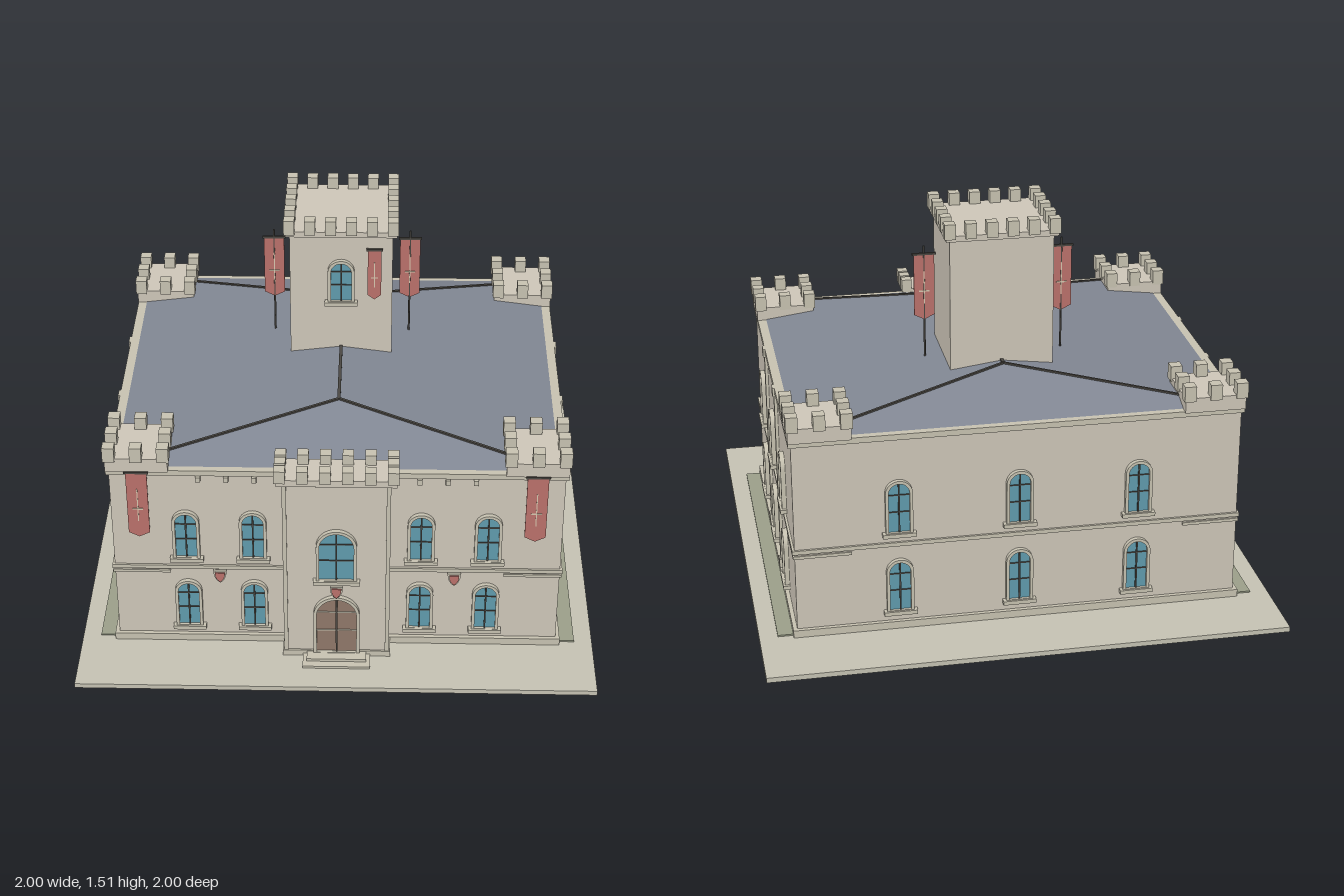
import * as THREE from 'three';

const mat = (color) => new THREE.MeshStandardMaterial({ color, side: THREE.DoubleSide });
const M = {
  wall: mat(0xccc5b7), trim: mat(0xc6c1b0), ground: mat(0xc4c1b2), grass: mat(0x9a9e88),
  roof: mat(0x808692), dark: mat(0x4a4742), glass: mat(0x5f9aac), door: mat(0x8e7768),
  cloth: mat(0xb9706a), emblem: mat(0xd6c6ae),
};

const group = (parent, name, x = 0, y = 0, z = 0, ry = 0) => {
  const g = new THREE.Group();
  g.name = name;
  g.position.set(x, y, z);
  g.rotation.y = ry;
  parent.add(g);
  return g;
};

function add(parent, name, geo, m, x = 0, y = 0, z = 0) {
  const mesh = new THREE.Mesh(geo, m);
  mesh.name = name;
  mesh.position.set(x, y, z);
  parent.add(mesh);
  return mesh;
}

// Box given by its extents on each axis
const box = (parent, name, m, x0, x1, y0, y1, z0, z1) =>
  add(parent, name, new THREE.BoxGeometry(x1 - x0, y1 - y0, z1 - z0), m,
    (x0 + x1) / 2, (y0 + y1) / 2, (z0 + z1) / 2);

const extrude = (shape, depth) =>
  new THREE.ExtrudeGeometry(shape, { depth, bevelEnabled: false, curveSegments: 12 });

// Round-headed outline standing on y = base
function archPath(PathType, w, h, base = 0) {
  const p = new PathType();
  p.moveTo(-w / 2, base);
  p.lineTo(w / 2, base);
  p.lineTo(w / 2, h - w / 2);
  p.absarc(0, h - w / 2, w / 2, 0, Math.PI, false);
  p.lineTo(-w / 2, base);
  return p;
}

// Arched opening facing +z: frame, pane, bars and optional sill
function arched(parent, name, w, h, x, y, z, ry = 0, fill = M.glass, sill = true) {
  const g = group(parent, name, x, y, z, ry);
  const t = 0.012;
  const frame = archPath(THREE.Shape, w, h);
  frame.holes.push(archPath(THREE.Path, w - 2 * t, h - t, 0.004));
  add(g, 'frame', extrude(frame, 0.018), M.trim);
  add(g, 'pane', extrude(archPath(THREE.Shape, w - 2 * t, h - t), 0.006), fill);
  const bar = fill === M.glass ? M.dark : M.trim;
  box(g, 'mullion', M.dark, -0.003, 0.003, 0.004, h - t, 0.004, 0.012);
  for (const f of [0.4, 0.72])
    box(g, 'crossBar', bar, -w / 2 + t, w / 2 - t, h * f - 0.002, h * f + 0.002, 0.004, 0.01);
  if (sill) box(g, 'sill', M.trim, -w / 2 - 0.012, w / 2 + 0.012, -0.014, 0.002, 0, 0.026);
}

// Crenellated cap: slab with merlons standing along its edges
function battlement(parent, name, x0, x1, z0, z1, y0, y1, top, nx, nz, s) {
  const g = group(parent, name);
  box(g, 'slab', M.wall, x0 + 0.006, x1 - 0.006, y0, y1, z0 + 0.006, z1 - 0.006);
  for (let i = 0; i < nx; i++) for (let j = 0; j < nz; j++) {
    if (i > 0 && i < nx - 1 && j > 0 && j < nz - 1) continue;
    const x = x0 + (x1 - x0 - s) * i / (nx - 1);
    const z = z0 + (z1 - z0 - s) * j / (nz - 1);
    box(g, 'merlon', M.trim, x, x + s, y1 - 0.012, top, z, z + s);
  }
}

// Hanging banner with a pointed hem, hung from y = 0 downward
function banner(parent, name, w, h, x, y, z) {
  const g = group(parent, name, x, y, z);
  const s = new THREE.Shape([[-w / 2, 0], [-w / 2, -h + 0.02], [0, -h], [w / 2, -h + 0.02], [w / 2, 0]]
    .map(([a, b]) => new THREE.Vector2(a, b)));
  add(g, 'cloth', extrude(s, 0.006), M.cloth, 0, 0, -0.003);
  box(g, 'rod', M.dark, -w / 2 - 0.006, w / 2 + 0.006, -0.004, 0.004, -0.005, 0.005);
  box(g, 'stripe', M.emblem, -0.002, 0.002, -h * 0.75, -h * 0.25, -0.005, 0.005);
  box(g, 'crossStripe', M.emblem, -w * 0.25, w * 0.25, -h * 0.57, -h * 0.55, -0.005, 0.005);
}

// Small wall shield
function shield(parent, x, y, z) {
  const s = new THREE.Shape();
  s.moveTo(-0.025, 0.027);
  s.lineTo(0.025, 0.027);
  s.quadraticCurveTo(0.026, -0.012, 0, -0.03);
  s.quadraticCurveTo(-0.026, -0.012, -0.025, 0.027);
  const g = group(parent, 'shield', x, y, z);
  add(g, 'rim', extrude(s, 0.01), M.trim);
  add(g, 'field', extrude(s, 0.016), M.cloth).scale.set(0.75, 0.75, 1);
}

// Square beam between two points
function beam(parent, name, a, b, r) {
  const p = new THREE.Vector3(...a), q = new THREE.Vector3(...b);
  const m = add(parent, name, new THREE.BoxGeometry(r, r, p.distanceTo(q)), M.dark);
  m.position.copy(p).add(q).multiplyScalar(0.5);
  m.lookAt(q);
}

function hipRoof(parent) {
  const X = 0.83, Z = 0.7, E = 0.833, R = 0.94, L = 0.39;
  const a = [-X, E, Z], b = [X, E, Z], c = [X, E, -Z], d = [-X, E, -Z], f = [0, R, L], k = [0, R, -L];
  const tris = [a, b, f, b, c, k, b, k, f, c, d, k, d, a, f, d, f, k];
  const geo = new THREE.BufferGeometry();
  geo.setAttribute('position', new THREE.Float32BufferAttribute(tris.flat(), 3));
  geo.computeVertexNormals();
  const g = group(parent, 'roof');
  add(g, 'slopes', geo, M.roof);
  beam(g, 'ridge', k, f, 0.012);
  for (const corner of [a, b]) beam(g, 'hip', f, corner, 0.01);
  for (const corner of [c, d]) beam(g, 'hip', k, corner, 0.01);
}

export function createModel() {
  const model = new THREE.Group();
  model.name = 'castleHouse';
  const W = 0.855, D = 0.715;

  // Ground and grass strips
  box(model, 'ground', M.ground, -1, 1, 0, 0.02, -1, 1);
  for (const s of [-1, 1])
    box(model, 'grass', M.grass, s * 0.9 - 0.03, s * 0.9 + 0.03, 0.018, 0.026, -0.71, 0.71);

  // Main block with plinth, string course and cornice
  box(model, 'walls', M.wall, -W, W, 0.02, 0.83, -D, D);
  for (const [name, y0, y1, o] of [['plinth', 0.02, 0.05, 0.016], ['stringCourse', 0.368, 0.384, 0.009],
    ['cornice', 0.808, 0.831, 0.01]])
    box(model, name, M.trim, -W - o, W + o, y0, y1, -D - o, D + o);

  // Corner turrets
  for (const sx of [-1, 1]) for (const sz of [-1, 1]) {
    const xs = [sx * 0.625, sx * 0.872].sort((p, q) => p - q);
    const zs = [sz * 0.49, sz * 0.737].sort((p, q) => p - q);
    battlement(model, 'cornerTurret', ...xs, ...zs, 0.826, 0.885, 0.935, 3, 3, 0.045);
    box(model, 'cornerBand', M.trim, Math.min(sx * 0.64, sx * 0.862), Math.max(sx * 0.64, sx * 0.862),
      0.348, 0.36, Math.min(sz * 0.5, sz * 0.722), Math.max(sz * 0.5, sz * 0.722));
  }

  hipRoof(model);

  // Windows on both floors: front, sides and back
  for (const y of [0.095, 0.425]) {
    for (const x of [-0.575, -0.32, 0.32, 0.575]) arched(model, 'frontWindow', 0.104, 0.218, x, y, D);
    for (const p of [-0.4, 0, 0.4]) {
      arched(model, 'leftWindow', 0.104, 0.218, W, y, p, Math.PI / 2);
      arched(model, 'rightWindow', 0.104, 0.218, -W, y, p, -Math.PI / 2);
      arched(model, 'backWindow', 0.104, 0.218, p * 1.15, y, -D, Math.PI);
    }
  }

  // Side pilasters with base and capital
  for (const s of [-1, 1]) for (const z of [-0.2, 0.2]) {
    const g = group(model, 'pilaster', s * W, 0, z);
    box(g, 'shaft', M.trim, -0.012, 0.012, 0.05, 0.82, -0.014, 0.014);
    for (const y of [0.05, 0.795]) box(g, 'block', M.trim, -0.018, 0.018, y, y + 0.035, -0.02, 0.02);
  }

  // Entrance bay, door and steps
  const bay = group(model, 'entranceBay');
  box(bay, 'bayWalls', M.wall, -0.2, 0.2, 0.02, 0.84, 0.68, 0.805);
  box(bay, 'bayPlinth', M.trim, -0.208, 0.208, 0.02, 0.045, 0.7, 0.813);
  for (const s of [-1, 1])
    box(bay, 'bayEdge', M.trim, s * 0.195 - 0.008, s * 0.195 + 0.008, 0.04, 0.83, 0.72, 0.81);
  battlement(bay, 'bayBattlement', -0.232, 0.232, 0.67, 0.823, 0.83, 0.858, 0.9, 6, 3, 0.042);
  arched(bay, 'bayWindow', 0.155, 0.235, 0, 0.393, 0.805);
  arched(bay, 'door', 0.177, 0.274, 0, 0.04, 0.805, 0, M.door, false);
  box(bay, 'lowerStep', M.trim, -0.13, 0.13, 0.02, 0.03, 0.8, 0.89);
  box(bay, 'upperStep', M.trim, -0.115, 0.115, 0.03, 0.042, 0.8, 0.86);
  shield(bay, 0, 0.345, 0.82);

  // Front shields, beam ends and wall banners
  for (const s of [-1, 1]) {
    shield(model, s * 0.45, 0.34, D + 0.008);
    for (const x of [0.31, 0.415, 0.52])
      box(model, 'beamEnd', M.trim, s * x - 0.009, s * x + 0.009, 0.785, 0.807, D, D + 0.02);
    banner(model, 'wallBanner', 0.08, 0.295, s * 0.75, 0.825, D + 0.017);
  }

  // Keep with window and banner
  const keep = group(model, 'keep');
  box(keep, 'keepWalls', M.wall, -0.2, 0.2, 0.83, 1.45, -0.36, 0.01);
  battlement(keep, 'keepBattlement', -0.222, 0.222, -0.382, 0.025, 1.437, 1.46, 1.508, 6, 5, 0.042);
  arched(keep, 'keepWindow', 0.104, 0.184, 0, 1.153, 0.01);
  banner(keep, 'keepBanner', 0.053, 0.22, 0.13, 1.387, 0.022);

  // Flagpoles beside the keep
  for (const s of [-1, 1]) {
    const g = group(model, 'flagpole', s * 0.27, 0, -0.18);
    add(g, 'pole', new THREE.CylinderGeometry(0.004, 0.004, 0.48, 8), M.dark, 0, 1.12, 0);
    banner(g, 'flag', 0.08, 0.268, 0, 1.327, 0);
  }
  return model;
}
